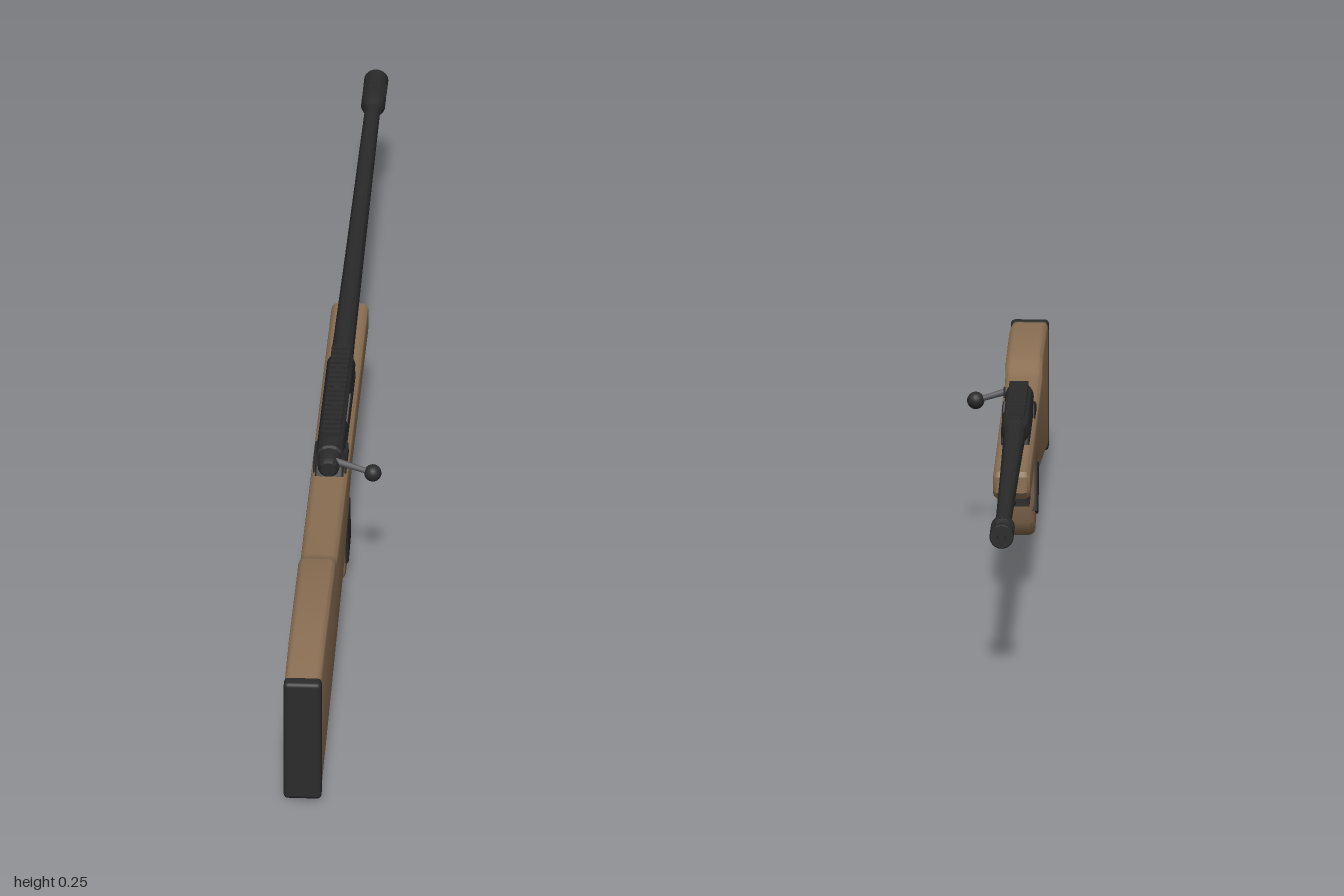
import * as THREE from 'three';
import { toCreasedNormals } from 'three/addons/utils/BufferGeometryUtils.js';
import { RoundedBoxGeometry } from 'three/addons/geometries/RoundedBoxGeometry.js';

const CX = -0.028; // centre plane of the rifle
const BORE = 0.222; // height of the bore axis

export function createModel() {
  const model = new THREE.Group();
  model.name = 'boltActionRifle';
  const mat = (name, color) => {
    const m = new THREE.MeshStandardMaterial({ color });
    m.name = name;
    return m;
  };
  const tan = mat('tanStock', 0x8c7054);
  const black = mat('blackMetal', 0x2a2a2b);
  const rubber = mat('blackRubber', 0x2b2b2b);
  const steel = mat('greySteel', 0x5c5c60);

  const add = (name, geometry, material, x = CX, y = 0, z = 0) => {
    const mesh = new THREE.Mesh(geometry, material);
    mesh.name = name;
    mesh.position.set(x, y, z);
    model.add(mesh);
    return mesh;
  };
  // Side profile of [z, y] points, extruded across x with bevelled edges
  const profile = (points, width, bevel, hole) => {
    const shape = new THREE.Shape(points.map(([z, y]) => new THREE.Vector2(z, y)));
    if (hole) shape.holes.push(new THREE.Path(hole.map(([z, y]) => new THREE.Vector2(z, y))));
    const depth = width - 2 * bevel;
    const g = new THREE.ExtrudeGeometry(shape, {
      depth, bevelEnabled: bevel > 0, bevelSize: bevel, bevelThickness: bevel,
      bevelOffset: -bevel, bevelSegments: 3,
    });
    g.translate(0, 0, -depth / 2).rotateY(-Math.PI / 2);
    return toCreasedNormals(g, 0.6);
  };
  // Solid turned around the bore axis from [radius, z] points, rear to front
  const turned = (points, segments = 28) => {
    const g = new THREE.LatheGeometry(points.map(([r, z]) => new THREE.Vector2(r, -z)), segments);
    return toCreasedNormals(g.rotateX(-Math.PI / 2), 0.6);
  };
  const box = (w, h, d) => new THREE.BoxGeometry(w, h, d);

  // Stock, grip and butt
  add('stock', profile([
    [0.978, 0.009], [0.978, 0.212], [0.86, 0.226], [0.605, 0.226], [0.585, 0.218], [0.565, 0.205],
    [0.54, 0.2], [-0.295, 0.2], [-0.301, 0.192], [-0.301, 0.166], [-0.292, 0.155], [-0.27, 0.151],
    [0.15, 0.147], [0.2, 0.135], [0.25, 0.12], [0.31, 0.098], [0.365, 0.081],
  ], 0.06, 0.01), tan);
  add('grip', profile([
    [0.3, 0.13], [0.278, 0.07], [0.287, 0.025], [0.28, 0.01], [0.262, 0.002], [0.235, 0],
    [0.213, 0.008], [0.2, 0.026], [0.192, 0.07], [0.18, 0.118], [0.165, 0.145], [0.2, 0.16], [0.28, 0.16],
  ], 0.052, 0.01), tan);
  add('gripPanels', profile([
    [0.283, 0.112], [0.262, 0.03], [0.198, 0.046], [0.212, 0.125],
  ], 0.0616, 0.003), rubber);
  add('recoilPad', new RoundedBoxGeometry(0.061, 0.212, 0.026, 3, 0.007), rubber, CX, 0.108, 0.987);

  // Receiver, rear shroud and tang
  add('receiver', turned([
    [0, 0.3], [0.012, 0.3], [0.017, 0.292], [0.019, 0.262], [0.023, 0.26], [0.023, -0.05],
    [0.019, -0.062], [0, -0.062],
  ]), black, CX, BORE);
  add('receiverBed', profile([
    [0.285, 0.195], [0.275, 0.214], [0.2, 0.222], [-0.05, 0.216], [-0.055, 0.195],
  ], 0.046, 0.004), black);
  add('receiverShoulder', profile([
    [0.27, 0.195], [0.262, 0.214], [0.2, 0.22], [0.19, 0.195],
  ], 0.054, 0.004), black);
  add('ejectionPort', box(0.004, 0.012, 0.09), steel, CX + 0.0205, 0.227, 0.11);

  // Sight rail with cross slots and screws
  add('railBase', box(0.02, 0.012, 0.29), black, CX, 0.242, 0.085);
  for (let i = 0; i < 19; i++) {
    add('railTooth', profile([
      [-0.0048, 0], [0.0048, 0], [0.0048, 0.006], [-0.0048, 0.006],
    ], 0.031, 0.0014), black, CX, 0.2465, -0.055 + i * 0.0156);
  }
  for (let i = 0; i < 5; i++) {
    add('railScrew', new THREE.CylinderGeometry(0.006, 0.006, 0.004, 12), black, CX, 0.2505, -0.04 + i * 0.0585);
  }

  // Barrel and ported muzzle brake
  add('barrel', turned([
    [0, -0.05], [0.0185, -0.05], [0.0175, -0.14], [0.0155, -0.4], [0.0125, -0.9], [0.0125, -0.92], [0, -0.92],
  ]), black, CX, BORE);
  add('brakeCollar', turned([
    [0, -0.895], [0.0135, -0.895], [0.0195, -0.912], [0.0195, -0.928], [0, -0.928],
  ]), black, CX, BORE);
  const brakeRing = (rear, front) => turned([
    [0.007, rear], [0.0195, rear], [0.0195, front + 0.002], [0.018, front], [0.007, front], [0.007, rear],
  ]);
  for (const [rear, front] of [[-0.939, -0.944], [-0.955, -0.96], [-0.971, -1]]) {
    add('brakeBaffle', brakeRing(rear, front), black, CX, BORE);
  }
  for (const middle of [Math.PI / 2, -Math.PI / 2]) {
    const s = new THREE.Shape();
    s.absarc(0, 0, 0.0185, middle - 1, middle + 1, false);
    s.absarc(0, 0, 0.0125, middle + 1, middle - 1, true);
    const g = new THREE.ExtrudeGeometry(s, { depth: 0.06, bevelEnabled: false, curveSegments: 10 });
    add('brakeBridge', toCreasedNormals(g, 0.6), black, CX, BORE, -0.98);
  }

  // Bolt handle with round knob
  const from = new THREE.Vector3(CX + 0.008, 0.23, 0.283);
  const to = new THREE.Vector3(0.043, 0.2105, 0.285);
  const handle = new THREE.CylinderGeometry(0.0042, 0.006, from.distanceTo(to), 14);
  const arm = add('boltHandle', handle, steel);
  arm.position.copy(from).lerp(to, 0.5);
  arm.quaternion.setFromUnitVectors(new THREE.Vector3(0, 1, 0), to.clone().sub(from).normalize());
  add('boltKnob', new THREE.SphereGeometry(0.014, 20, 14), black, to.x, to.y, to.z);
  add('cockingLever', box(0.003, 0.016, 0.012), black, -0.004, 0.228, 0.262);

  // Magazine, trigger and guard
  add('magazine', profile([
    [0.129, 0.16], [0.129, 0.086], [0.041, 0.086], [0.041, 0.16],
  ], 0.038, 0.003), black);
  add('magazineFloor', box(0.042, 0.006, 0.093), black, CX, 0.085, 0.085);
  add('triggerGuard', profile(
    [[0.185, 0.15], [0.175, 0.115], [0.168, 0.111], [0.125, 0.111], [0.125, 0.15]],
    0.018, 0,
    [[0.177, 0.146], [0.17, 0.116], [0.129, 0.116], [0.129, 0.146]],
  ), black);
  const triggerCurve = new THREE.QuadraticBezierCurve3(
    new THREE.Vector3(0, 0.15, 0.152), new THREE.Vector3(0, 0.132, 0.158), new THREE.Vector3(0, 0.12, 0.147));
  add('trigger', new THREE.TubeGeometry(triggerCurve, 8, 0.003, 8), black);

  // Sling studs under the fore-end and butt
  for (const [y, z] of [[0.143, -0.245], [0.021, 0.845]]) {
    add('slingStud', new THREE.CylinderGeometry(0.004, 0.004, 0.018, 10), black, CX, y + 0.005, z);
    add('slingStudHead', new THREE.SphereGeometry(0.0065, 12, 8), black, CX, y - 0.002, z);
  }
  return model;
}
